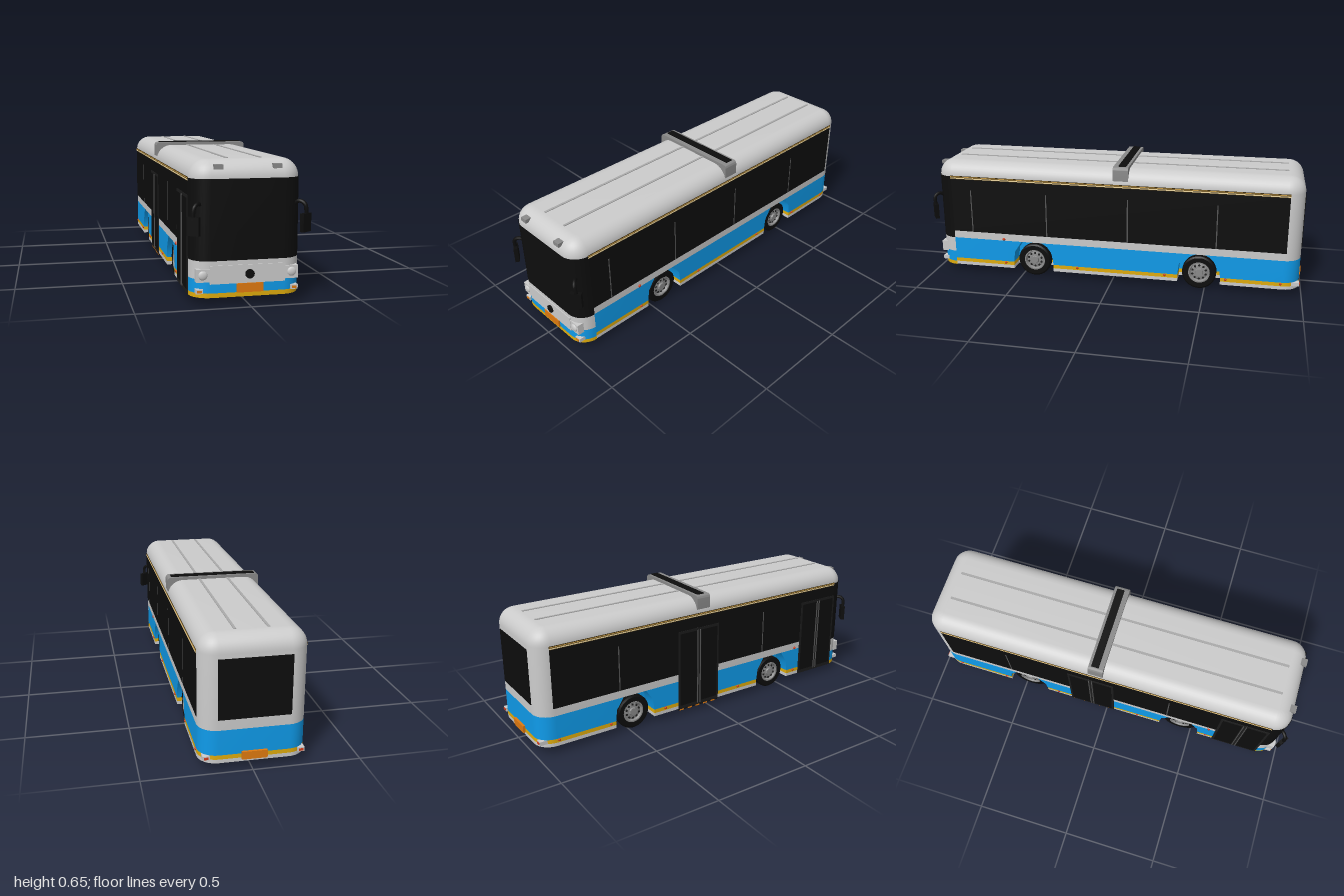
import * as THREE from 'three';
import { toCreasedNormals } from 'three/addons/utils/BufferGeometryUtils.js';

const GREY = 0xcccccc, MID = 0x8a8a8a, BLACK = 0x0d0d0d, BLUE = 0x0f9bea, YELLOW = 0xe0ac0c, ORANGE = 0xe07a10, RED = 0xd03a18;
const HW = 0.245, ZF = 0.963, ZB = -0.985, R = 0.085, STEPS = 8;
const WHEEL_Z = [0.43, -0.47];

const mats = {};
const mat = c => mats[c] ??= new THREE.MeshStandardMaterial({ color: c, side: THREE.DoubleSide });

function add(parent, name, geo, color, x = 0, y = 0, z = 0) {
  const m = new THREE.Mesh(geo, mat(color));
  m.name = name;
  m.position.set(x, y, z);
  parent.add(m);
  return m;
}
// box given by its extents
function box(parent, name, color, x0, x1, y0, y1, z0, z1) {
  return add(parent, name, new THREE.BoxGeometry(Math.abs(x1 - x0), y1 - y0, Math.abs(z1 - z0)), color,
    (x0 + x1) / 2, (y0 + y1) / 2, (z0 + z1) / 2);
}

// wheel notches on one side of the plan
function notches(side, half) {
  const pts = [], d = side;
  for (const zc of side > 0 ? [...WHEEL_Z].reverse() : WHEEL_Z)
    for (const [x, e] of [[HW, -1], [0.16, -1], [0.16, 1], [HW, 1]])
      pts.push(new THREE.Vector2(side * x, zc + d * e * half));
  return pts;
}
// rounded plan outline (x, z), optionally notched for the wheels
function plan(inset = 0, half = 0) {
  const r = Math.max(R - inset, 0.004), pts = [];
  const centres = [[HW - inset - r, ZF - inset - r], [-HW + inset + r, ZF - inset - r],
    [-HW + inset + r, ZB + inset + r], [HW - inset - r, ZB + inset + r]];
  centres.forEach(([cx, cz], k) => {
    if (half && k === 0) pts.push(...notches(1, half));
    if (half && k === 2) pts.push(...notches(-1, half));
    for (let i = 0; i <= STEPS; i++) {
      const a = (k + i / STEPS) * Math.PI / 2;
      pts.push(new THREE.Vector2(cx + r * Math.cos(a), cz + r * Math.sin(a)));
    }
  });
  return pts;
}
// skin through plan outlines at given heights: levels = [[y, ring], ...]
function loft(levels, { closed = true, bottom = false, top = false } = {}) {
  const pos = [], idx = [], n = levels[0][1].length;
  for (const [y, ring] of levels) for (const p of ring) pos.push(p.x, y, p.y);
  for (let l = 0; l < levels.length - 1; l++)
    for (let i = 0; i < (closed ? n : n - 1); i++) {
      const a = l * n + i, b = l * n + (i + 1) % n;
      idx.push(a, a + n, b, b, a + n, b + n);
    }
  if (bottom) for (const f of THREE.ShapeUtils.triangulateShape(levels[0][1], [])) idx.push(...f);
  const o = (levels.length - 1) * n;
  if (top) for (const [a, b, c] of THREE.ShapeUtils.triangulateShape(levels.at(-1)[1], [])) idx.push(o + a, o + c, o + b);
  const g = new THREE.BufferGeometry();
  g.setAttribute('position', new THREE.Float32BufferAttribute(pos, 3));
  g.setIndex(idx);
  return toCreasedNormals(g, 0.5);
}
// band that wraps round the nose and its two corners
function noseBand(parent, name, color, y0, y1, out) {
  const ring = plan(-out).slice(0, 2 * (STEPS + 1));
  add(parent, name, loft([[y0, ring], [y1, ring]], { closed: false }), color);
}

function makeWheel() {
  const wheel = new THREE.Group();
  wheel.name = 'wheel';
  const lathe = (name, pts, color) => add(wheel, name,
    toCreasedNormals(new THREE.LatheGeometry(pts.map(p => new THREE.Vector2(...p)), 32), 0.6), color).rotation.z = -Math.PI / 2;
  lathe('tyre', [[0.056, -0.02], [0.082, -0.02], [0.09, -0.014], [0.09, 0.014], [0.082, 0.02], [0.058, 0.02], [0.056, 0.01]], BLACK);
  lathe('rim', [[0, -0.018], [0.057, -0.018], [0.057, 0.019], [0.05, 0.019], [0.045, 0.006], [0.03, 0.012], [0.022, 0.012], [0.019, 0.02], [0, 0.02]], MID);
  for (let i = 0; i < 10; i++) {
    const a = i * Math.PI / 5;
    const h = add(wheel, 'rimHole', new THREE.CylinderGeometry(0.006, 0.006, 0.006, 10), 0x222222, 0.009, 0.037 * Math.cos(a), 0.037 * Math.sin(a));
    h.rotation.z = Math.PI / 2;
  }
  return wheel;
}

function makeDoor(parent, z0, z1) {
  const door = new THREE.Group();
  door.name = 'door';
  parent.add(door);
  const x = -HW, zm = (z0 + z1) / 2;
  box(door, 'doorFrame', 0x1c1c1c, x + 0.01, x - 0.004, 0.04, 0.475, z0, z1);
  for (const [a, b] of [[z0 + 0.012, zm - 0.014], [zm + 0.014, z1 - 0.012]])
    box(door, 'doorGlass', BLACK, x, x - 0.006, 0.06, 0.462, a, b);
  for (const z of [zm - 0.008, zm + 0.008])
    box(door, 'doorPost', 0x555555, x, x - 0.008, 0.05, 0.465, z - 0.002, z + 0.002);
}

export function createModel() {
  const root = new THREE.Group();
  root.name = 'bus';
  const bus = new THREE.Group();
  bus.name = 'busBody';
  bus.position.x = -0.008;
  root.add(bus);

  // body shell in coloured bands
  const low = plan(0, 0.112), mid = plan(0, 0.105), high = plan(0, 0.065);
  add(bus, 'skirt', loft([[0.042, low], [0.06, low]], { bottom: true }), GREY);
  add(bus, 'yellowBand', loft([[0.06, low], [0.08, low]]), YELLOW);
  add(bus, 'blueBand', loft([[0.08, low], [0.14, mid], [0.2, high]]), BLUE);
  const levels = [[0.2, plan()], [0.55, plan()]];
  for (let i = 1; i <= 10; i++) {
    const a = i / 10 * Math.PI / 2;
    levels.push([0.55 + 0.08 * Math.sin(a), plan(0.08 * (1 - Math.cos(a)))]);
  }
  add(bus, 'upperBodyAndRoof', loft(levels, { bottom: true, top: true }), GREY);
  for (const x of [-0.075, 0.075]) box(bus, 'roofRib', 0xaaaaaa, x - 0.006, x + 0.006, 0.628, 0.633, -0.9, 0.88);

  // nose
  noseBand(bus, 'windscreen', BLACK, 0.2, 0.55, 0.002);
  noseBand(bus, 'noseGrey', GREY, 0.12, 0.2, 0.001);
  noseBand(bus, 'noseBlue', BLUE, 0.06, 0.12, 0.001);
  noseBand(bus, 'noseYellow', YELLOW, 0.04, 0.06, 0.001);
  box(bus, 'grillePanel', 0xc4c4c4, -0.167, 0.167, 0.1, 0.18, 0.95, 0.968);
  box(bus, 'frontPlate', ORANGE, -0.05, 0.068, 0.06, 0.1, 0.96, 0.972);
  add(bus, 'frontDisc', new THREE.CylinderGeometry(0.02, 0.02, 0.012, 28), BLACK, 0.008, 0.14, 0.97).rotation.x = Math.PI / 2;
  for (const s of [-1, 1]) {
    box(bus, 'headlightPanel', GREY, s * 0.167, s * 0.226, 0.11, 0.167, 0.925, 0.966);
    add(bus, 'headlight', new THREE.SphereGeometry(0.02, 24, 16), GREY, s * 0.197, 0.14, 0.966).scale.z = 0.45;
    box(bus, 'fogLampHousing', GREY, s * 0.195, s * 0.227, 0.06, 0.08, 0.925, 0.964);
    box(bus, 'fogLamp', ORANGE, s * 0.201, s * 0.221, 0.065, 0.075, 0.96, 0.967);
    box(bus, 'roofLamp', MID, s * 0.11, s * 0.148, 0.59, 0.61, 0.92, 0.967);
  }

  // sides
  for (const s of [-1, 1]) {
    const strip = (name, color, out, y0, y1, z0, z1) => box(bus, name, color, s * (HW - 0.005), s * (HW + out), y0, y1, z0, z1);
    strip('sideWindows', BLACK, 0.0015, 0.24, 0.535, -0.91, 0.882);
    strip('stripeEdge', 0x3a2c10, 0.0015, 0.535, 0.553, -0.91, 0.882);
    strip('creamStripe', 0xf0d9a0, 0.003, 0.538, 0.543, -0.91, 0.882);
    strip('goldStripe', 0xc79a45, 0.003, 0.546, 0.55, -0.91, 0.882);
    for (const z of [0.77, 0.35, -0.09, -0.555]) strip('windowPillar', 0x555555, 0.0025, 0.24, 0.475, z - 0.003, z + 0.003);
    for (const z of [0.59, 0.185, -0.29, -0.61, -0.89])
      add(bus, 'sideMarker', new THREE.SphereGeometry(0.007, 12, 8), RED, s * HW, 0.072, z);
    add(bus, 'turnSignal', new THREE.SphereGeometry(0.008, 12, 8), RED, s * HW, 0.208, 0.595);

    for (const z of WHEEL_Z) {
      const w = makeWheel();
      w.position.set(s * 0.206, 0.092, z);
      w.rotation.y = s > 0 ? 0 : Math.PI;
      bus.add(w);
    }

    // wing mirror on a curved arm
    const mirror = new THREE.Group();
    mirror.name = 'wingMirror';
    mirror.position.x = 0.008;
    bus.add(mirror);
    const arm = new THREE.CatmullRomCurve3([[0.2, 0.425, 0.93], [0.222, 0.447, 0.955], [0.242, 0.435, 0.972], [0.25, 0.38, 0.972]]
      .map(([x, y, z]) => new THREE.Vector3(s * x, y, z)));
    add(mirror, 'mirrorArm', new THREE.TubeGeometry(arm, 16, 0.009, 8), BLACK);
    add(mirror, 'mirrorHead', new THREE.BoxGeometry(0.055, 0.08, 0.02), BLACK, s * 0.246, 0.354, 0.972).rotation.y = s * 0.6;
  }
  makeDoor(bus, 0.63, 0.885);
  makeDoor(bus, -0.21, 0.045);
  // step under the middle door
  box(bus, 'doorStep', BLACK, -0.245, -0.195, 0.033, 0.044, -0.21, 0.045);
  for (let i = 0; i < 5; i++) box(bus, 'stepMark', ORANGE, -0.247, -0.215, 0.031, 0.04, -0.2 + i * 0.05, -0.175 + i * 0.05);

  // tail
  box(bus, 'rearWindow', BLACK, -0.165, 0.165, 0.25, 0.53, ZB + 0.01, ZB - 0.003);
  box(bus, 'rearPlate', ORANGE, -0.058, 0.058, 0.055, 0.092, ZB + 0.01, ZB - 0.012);
  for (const s of [-1, 1]) {
    box(bus, 'tailLampHousing', GREY, s * 0.2, s * 0.232, 0.06, 0.08, -0.94, -0.984);
    box(bus, 'tailLamp', RED, s * 0.206, s * 0.226, 0.065, 0.075, -0.96, -0.988);
  }

  // roof arch with dark top strip
  const arch = new THREE.Shape();
  arch.moveTo(-HW, 0.572);
  arch.lineTo(-HW, 0.625);
  arch.quadraticCurveTo(-HW, 0.645, -HW + 0.02, 0.645);
  arch.lineTo(HW - 0.02, 0.645);
  arch.quadraticCurveTo(HW, 0.645, HW, 0.625);
  arch.lineTo(HW, 0.572);
  arch.lineTo(HW - 0.03, 0.572);
  arch.lineTo(HW - 0.07, 0.615);
  arch.lineTo(-HW + 0.07, 0.615);
  arch.lineTo(-HW + 0.03, 0.572);
  add(bus, 'roofArch', toCreasedNormals(new THREE.ExtrudeGeometry(arch, { depth: 0.08, bevelEnabled: false }), 0.5), MID, 0, 0, -0.092);
  box(bus, 'roofArchStrip', BLACK, -0.225, 0.225, 0.64, 0.649, -0.078, -0.038);

  return root;
}
